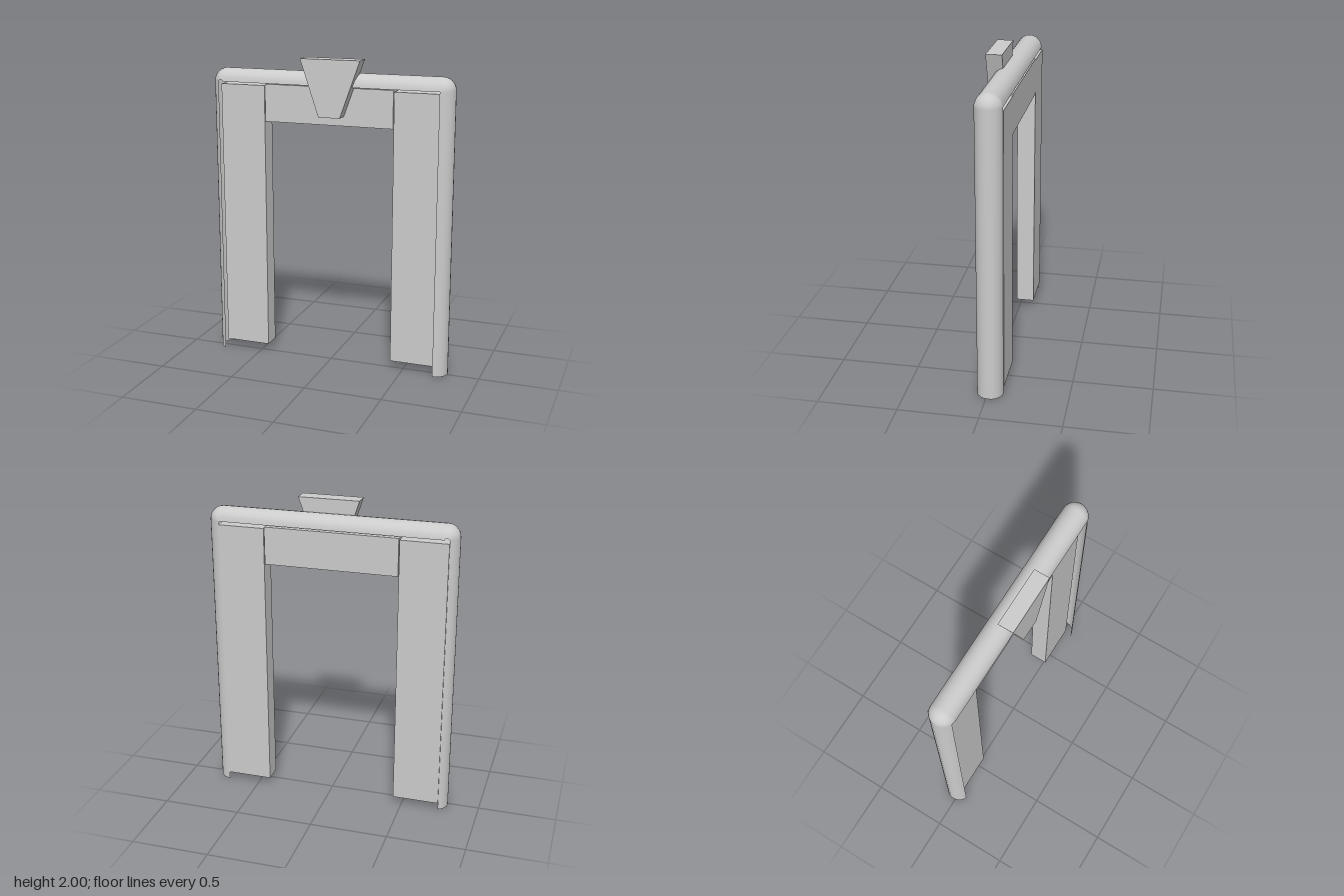
import * as THREE from 'three';

const material = new THREE.MeshStandardMaterial({ color: 0xcccccc });
const shellMaterial = new THREE.MeshStandardMaterial({ color: 0xcccccc, side: THREE.DoubleSide });

// Box given by its extents on each axis
function slab(name, [x0, x1], [y0, y1], [z0, z1]) {
  const mesh = new THREE.Mesh(new THREE.BoxGeometry(x1 - x0, y1 - y0, z1 - z0), material);
  mesh.position.set((x0 + x1) / 2, (y0 + y1) / 2, (z0 + z1) / 2);
  mesh.name = name;
  return mesh;
}

// Open half-round moulding swept up one side, over the top and down the other
function frameShell() {
  const r = 0.082, zMid = -0.015, yBend = 1.83, xLeft = 0.71, xRight = -0.715;
  const arcSteps = 10, bendSteps = 6;
  const trim = Math.asin(0.03 / r); // the right leg stops short of a full half circle
  const stations = [{ x: xRight, y: 0, a: Math.PI, trim }];
  for (let i = 0; i <= bendSteps; i++) {
    const k = i / bendSteps;
    stations.push({ x: xRight, y: yBend, a: Math.PI * (1 - k / 2), trim: trim * (1 - k) });
  }
  for (let i = 0; i <= bendSteps; i++) {
    stations.push({ x: xLeft, y: yBend, a: Math.PI / 2 * (1 - i / bendSteps), trim: 0 });
  }
  stations.push({ x: xLeft, y: 0, a: 0, trim: 0 });

  const positions = [], index = [], row = arcSteps + 1;
  stations.forEach((s, i) => {
    for (let j = 0; j <= arcSteps; j++) {
      const t = s.trim + (Math.PI - 2 * s.trim) * j / arcSteps;
      const out = r * Math.sin(t);
      positions.push(s.x + out * Math.cos(s.a), s.y + out * Math.sin(s.a), zMid + r * Math.cos(t));
      if (i < stations.length - 1 && j < arcSteps) {
        const p = i * row + j, q = p + row;
        index.push(p, q, p + 1, q, q + 1, p + 1);
      }
    }
  });
  const geometry = new THREE.BufferGeometry();
  geometry.setAttribute('position', new THREE.Float32BufferAttribute(positions, 3));
  geometry.setIndex(index);
  geometry.computeVertexNormals();
  const mesh = new THREE.Mesh(geometry, shellMaterial);
  mesh.name = 'roundedFrame';
  return mesh;
}

// Tapered block over the middle of the lintel
function keystone() {
  const shape = new THREE.Shape([
    new THREE.Vector2(-0.05, 1.64), new THREE.Vector2(0.09, 1.64),
    new THREE.Vector2(0.22, 2), new THREE.Vector2(-0.17, 2),
  ]);
  const mesh = new THREE.Mesh(
    new THREE.ExtrudeGeometry(shape, { depth: 0.1, bevelEnabled: false }), material);
  mesh.name = 'keystone';
  return mesh;
}

export function createModel() {
  const model = new THREE.Group();
  model.name = 'archway';
  const depth = [-0.1, 0.02];
  model.add(
    slab('rightJamb', [-0.745, -0.445], [0.05, 1.81], depth),
    slab('leftJamb', [0.415, 0.715], [0.05, 1.81], depth),
    slab('lintel', [-0.44, 0.41], [1.58, 1.82], depth),
    frameShell(),
    keystone(),
  );
  return model;
}
